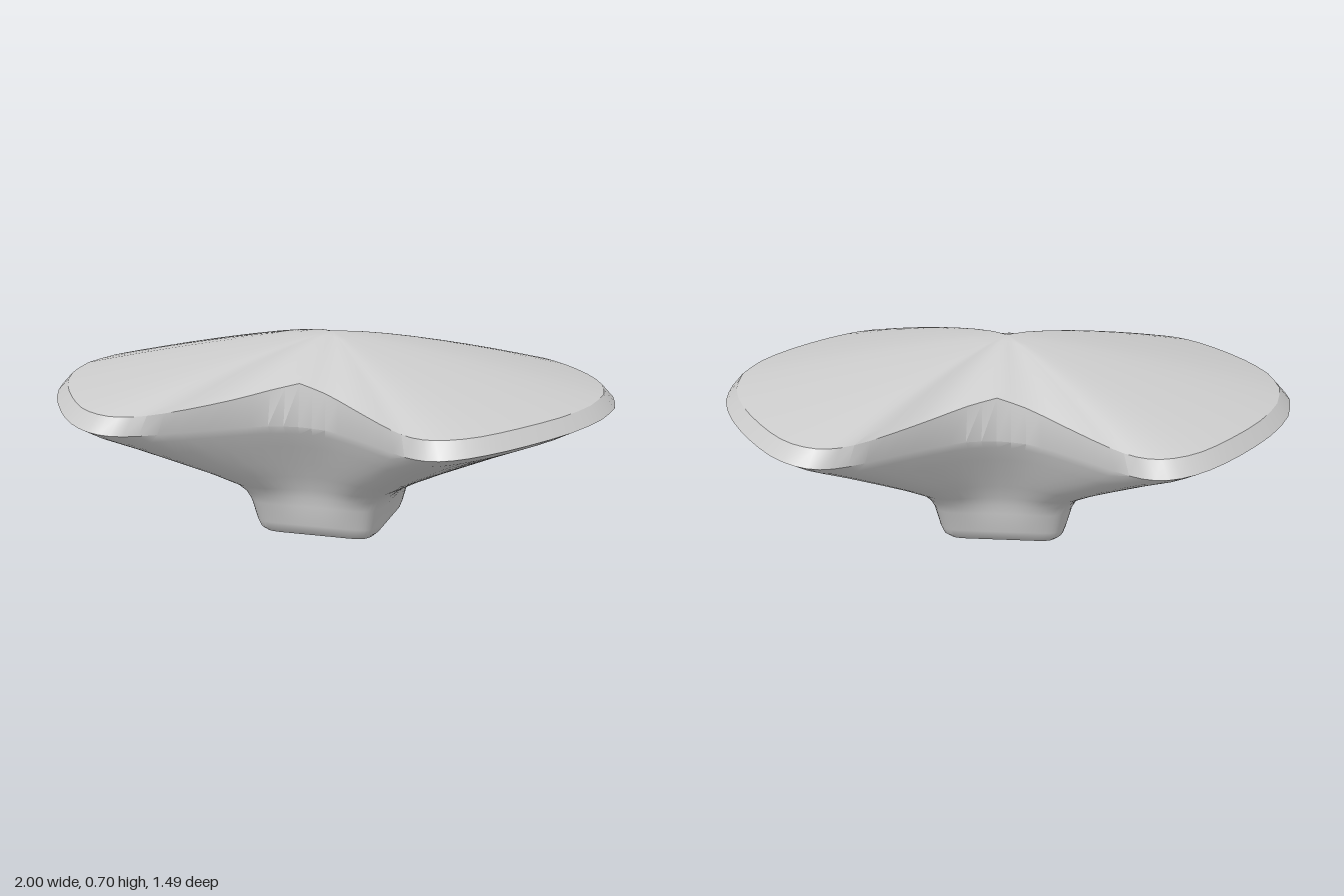
import * as THREE from 'three';
import { toCreasedNormals } from 'three/addons/utils/BufferGeometryUtils.js';

// One quarter, from the side (+x) to the notch (+z):
// wing x, wing z, lower rim y, upper rim y, foot x, foot z
const QUARTER = [
  [1.00, 0.00, 0.49, 0.535, 0.225, 0.00],
  [0.975, 0.18, 0.49, 0.533, 0.225, 0.06],
  [0.90, 0.37, 0.485, 0.53, 0.225, 0.12],
  [0.79, 0.55, 0.48, 0.527, 0.224, 0.165],
  [0.69, 0.675, 0.475, 0.523, 0.215, 0.20],
  [0.60, 0.735, 0.467, 0.52, 0.20, 0.222],
  [0.52, 0.74, 0.46, 0.517, 0.175, 0.232],
  [0.44, 0.695, 0.455, 0.517, 0.14, 0.235],
  [0.34, 0.60, 0.45, 0.523, 0.105, 0.235],
  [0.21, 0.48, 0.445, 0.54, 0.07, 0.235],
  [0.10, 0.41, 0.445, 0.565, 0.035, 0.235],
  [0.00, 0.39, 0.445, 0.59, 0.00, 0.235],
];
const STEPS = 22;

// Smooth curve through the quarter, mirrored into a closed loop
function loop(toPoint) {
  const curve = new THREE.CatmullRomCurve3(QUARTER.map(toPoint), false, 'catmullrom', 0.5);
  const q = [];
  for (let i = 0; i <= STEPS; i++) q.push(curve.getPoint(i / STEPS));
  const mirror = (sx, sz) => q.map((p) => new THREE.Vector3(p.x * sx, p.y, p.z * sz));
  return [
    ...mirror(1, 1).slice(0, -1),
    ...mirror(-1, 1).reverse().slice(0, -1),
    ...mirror(-1, -1).slice(0, -1),
    ...mirror(1, -1).reverse().slice(0, -1),
  ];
}

// Skin a stack of loops from bottom to top, closed by a point at each end
function skin(rings, bottom, top) {
  const n = rings[0].length;
  const points = [...rings.flat(), bottom, top];
  const index = [];
  for (let r = 0; r < rings.length - 1; r++) {
    for (let i = 0; i < n; i++) {
      const j = (i + 1) % n;
      const a = r * n + i, b = r * n + j, c = a + n, d = b + n;
      index.push(a, c, b, b, c, d);
    }
  }
  const last = (rings.length - 1) * n;
  const bi = rings.length * n;
  for (let i = 0; i < n; i++) {
    const j = (i + 1) % n;
    index.push(bi, i, j, bi + 1, last + j, last + i);
  }
  const g = new THREE.BufferGeometry().setFromPoints(points);
  g.setIndex(index);
  return toCreasedNormals(g, 0.55);
}

export function createModel() {
  const group = new THREE.Group();
  group.name = 'butterflyKnob';

  const foot = loop((q) => new THREE.Vector3(q[4], 0.05, q[5]));
  const lowerRim = loop((q) => new THREE.Vector3(q[0], q[2], q[1]));
  const upperRim = loop((q) => new THREE.Vector3(q[0] * 0.96, q[3], q[1] * 0.955));
  const rings = [];

  // Rounded bottom edge of the square foot: scale, height
  for (const [s, y] of [[0.75, 0], [0.88, 0.008], [0.96, 0.025], [1, 0.05]]) {
    rings.push(foot.map((p) => new THREE.Vector3(p.x * s, y, p.z * s)));
  }

  // Flared stem, square foot blending into the winged rim: blend, height
  for (const [w, h] of [[0.035, 0.18], [0.07, 0.27], [0.125, 0.345], [0.29, 0.48],
    [0.48, 0.62], [0.73, 0.8], [0.92, 0.93], [1, 1]]) {
    rings.push(foot.map((p, i) => {
      const v = p.clone().lerp(lowerRim[i], w);
      v.y = THREE.MathUtils.lerp(p.y, lowerRim[i].y, h);
      return v;
    }));
  }

  // Bevelled rim and domed top
  const peak = 0.705;
  for (const t of [1, 0.9, 0.78, 0.65, 0.52, 0.39, 0.26, 0.13]) {
    rings.push(upperRim.map((p) => new THREE.Vector3(
      p.x * t, peak - (peak - p.y) * Math.pow(t, 1.3), p.z * t)));
  }

  const knob = new THREE.Mesh(
    skin(rings, new THREE.Vector3(0, 0, 0), new THREE.Vector3(0, peak, 0)),
    new THREE.MeshStandardMaterial({ color: 0xcccccc }));
  knob.name = 'knobBody';
  group.add(knob);
  return group;
}
